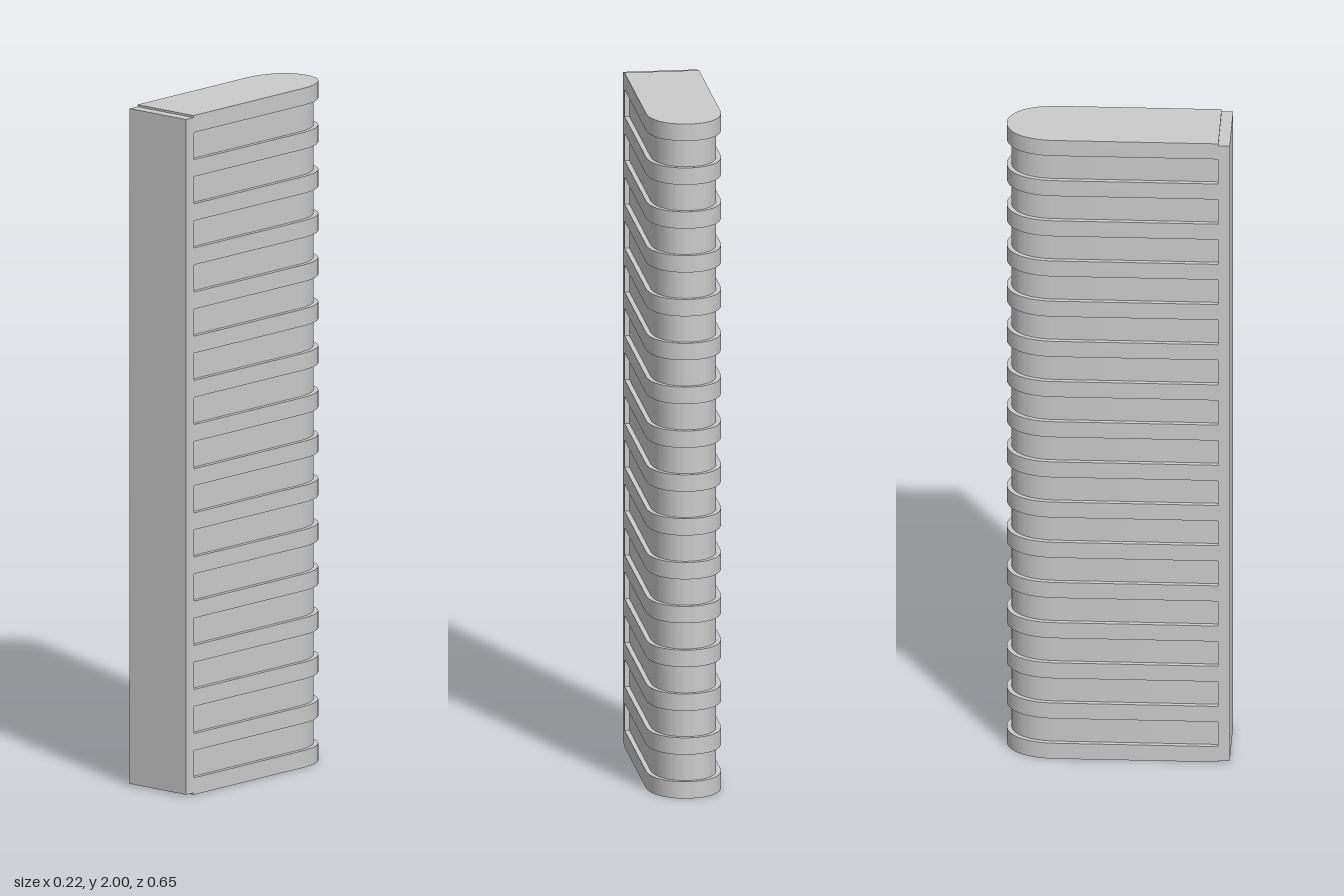
import * as THREE from 'three';
import { toCreasedNormals } from 'three/addons/utils/BufferGeometryUtils.js';

const HALF_W = 0.108, BACK = 0.323, SEAM = 0.29, RIBS = 16, RIB_H = 0.05;

// Horizontal slab with a straight front edge and a rounded back, from y0 to y1
function slab(inset, y0, y1) {
  const w = HALF_W - inset, b = BACK - inset;
  const s = new THREE.Shape(); // shape y = -z
  s.moveTo(-w, -SEAM);
  s.lineTo(w, -SEAM);
  s.lineTo(w, 0.18);
  s.bezierCurveTo(w, 0.18 + (b - 0.18) * 0.63, w * 0.56, b, 0, b);
  s.bezierCurveTo(-w * 0.56, b, -w, 0.18 + (b - 0.18) * 0.63, -w, 0.18);
  s.closePath();
  const g = new THREE.ExtrudeGeometry(s, { depth: y1 - y0, bevelEnabled: false, curveSegments: 20 });
  g.rotateX(-Math.PI / 2);
  g.translate(0, y0, 0);
  return toCreasedNormals(g, 0.5);
}

export function createModel() {
  const group = new THREE.Group();
  const mat = new THREE.MeshStandardMaterial({ color: 0xcccccc });
  const add = (geo, name) => {
    const mesh = new THREE.Mesh(geo, mat);
    mesh.name = name;
    group.add(mesh);
    return mesh;
  };

  // Recessed body behind the ribs
  add(slab(0.014, 0.02, 1.98), 'core');

  // Evenly stacked ribs, the outer two closing the ends
  const ribGeo = slab(0, 0, RIB_H);
  for (let i = 0; i < RIBS; i++) {
    add(ribGeo, `rib${i + 1}`).position.y = (i * (2 - RIB_H)) / (RIBS - 1);
  }

  // Flat front plate, a touch shorter than the stack
  const plate = add(new THREE.BoxGeometry(HALF_W * 2, 1.988, 0.034), 'frontPlate');
  plate.position.set(0, 1, 0.306);

  return group;
}
